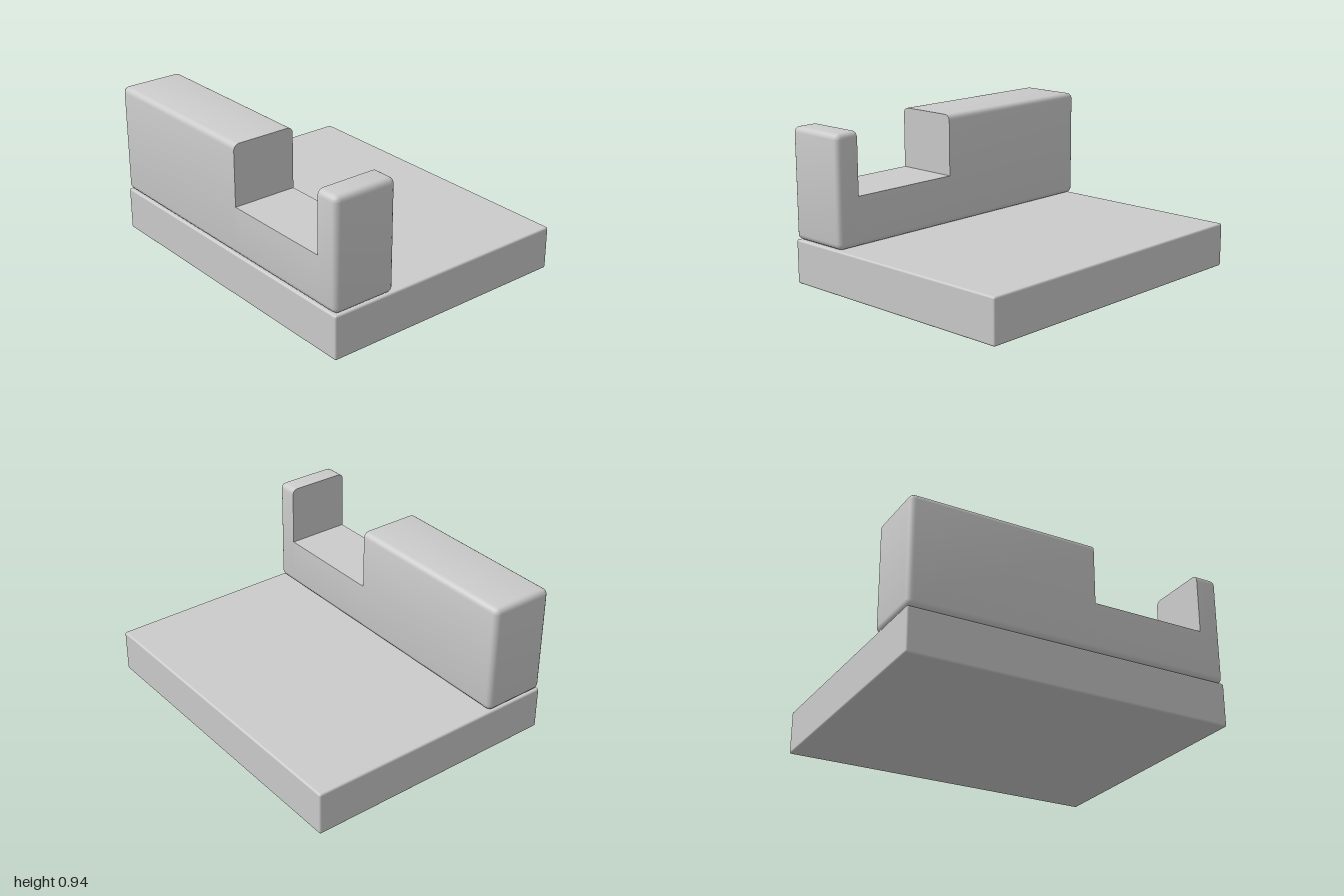
import * as THREE from 'three';
import { toCreasedNormals } from 'three/addons/utils/BufferGeometryUtils.js';
import { RoundedBoxGeometry } from 'three/addons/geometries/RoundedBoxGeometry.js';

const material = new THREE.MeshStandardMaterial({ color: 0xcccccc });

// Rounded bar along x, lofted from rounded-rectangle sections; a notch is cut down to notch.y
function notchedBar({ x, y, z, r, notch, steps = 4 }) {
  const section = (px, rad, top = Infinity) => {
    const ring = [];
    const corners = [[z[1] - r, y[1] - r], [z[0] + r, y[1] - r], [z[0] + r, y[0] + r], [z[1] - r, y[0] + r]];
    corners.forEach(([cz, cy], k) => {
      for (let i = 0; i <= steps; i++) {
        const a = (k + i / steps) * Math.PI / 2;
        ring.push(new THREE.Vector3(px, Math.min(cy + rad * Math.sin(a), top), cz + rad * Math.cos(a)));
      }
    });
    return ring;
  };

  // rounded end, notch walls and floor, rounded end
  const rings = [];
  for (let i = 0; i <= steps; i++) {
    const a = i / steps * Math.PI / 2;
    rings.push(section(x[0] + r * (1 - Math.cos(a)), r * Math.sin(a)));
  }
  rings.push(section(notch.x[0], r), section(notch.x[0], r, notch.y));
  rings.push(section(notch.x[1], r, notch.y), section(notch.x[1], r));
  for (let i = steps; i >= 0; i--) {
    const a = i / steps * Math.PI / 2;
    rings.push(section(x[1] - r * (1 - Math.cos(a)), r * Math.sin(a)));
  }

  const points = [];
  const tri = (a, b, c) => {
    if (new THREE.Triangle(a, b, c).getArea() > 1e-8) points.push(a, b, c);
  };
  const n = rings[0].length;
  for (let s = 0; s < rings.length - 1; s++) {
    for (let j = 0; j < n; j++) {
      const k = (j + 1) % n;
      const [p, q] = [rings[s], rings[s + 1]];
      tri(p[j], q[j], q[k]);
      tri(p[j], q[k], p[k]);
    }
  }
  // end caps
  const [first, last] = [rings[0], rings[rings.length - 1]];
  for (let j = 1; j < n - 1; j++) {
    tri(first[0], first[j], first[j + 1]);
    tri(last[0], last[j + 1], last[j]);
  }
  return toCreasedNormals(new THREE.BufferGeometry().setFromPoints(points), 0.6);
}

export function createModel() {
  const model = new THREE.Group();
  model.name = 'notchedWallOnSlab';

  // flat slab with fine bevelled edges
  const slab = new THREE.Mesh(new RoundedBoxGeometry(2, 0.266, 1.6, 2, 0.012), material);
  slab.name = 'baseSlab';
  slab.position.y = 0.133;

  // front wall with a square notch
  const wall = new THREE.Mesh(notchedBar({
    x: [-1, 1], y: [0.268, 0.937], z: [0.4, 0.8], r: 0.035,
    notch: { x: [0.14, 0.857], y: 0.565 },
  }), material);
  wall.name = 'frontWall';

  model.add(slab, wall);
  return model;
}
